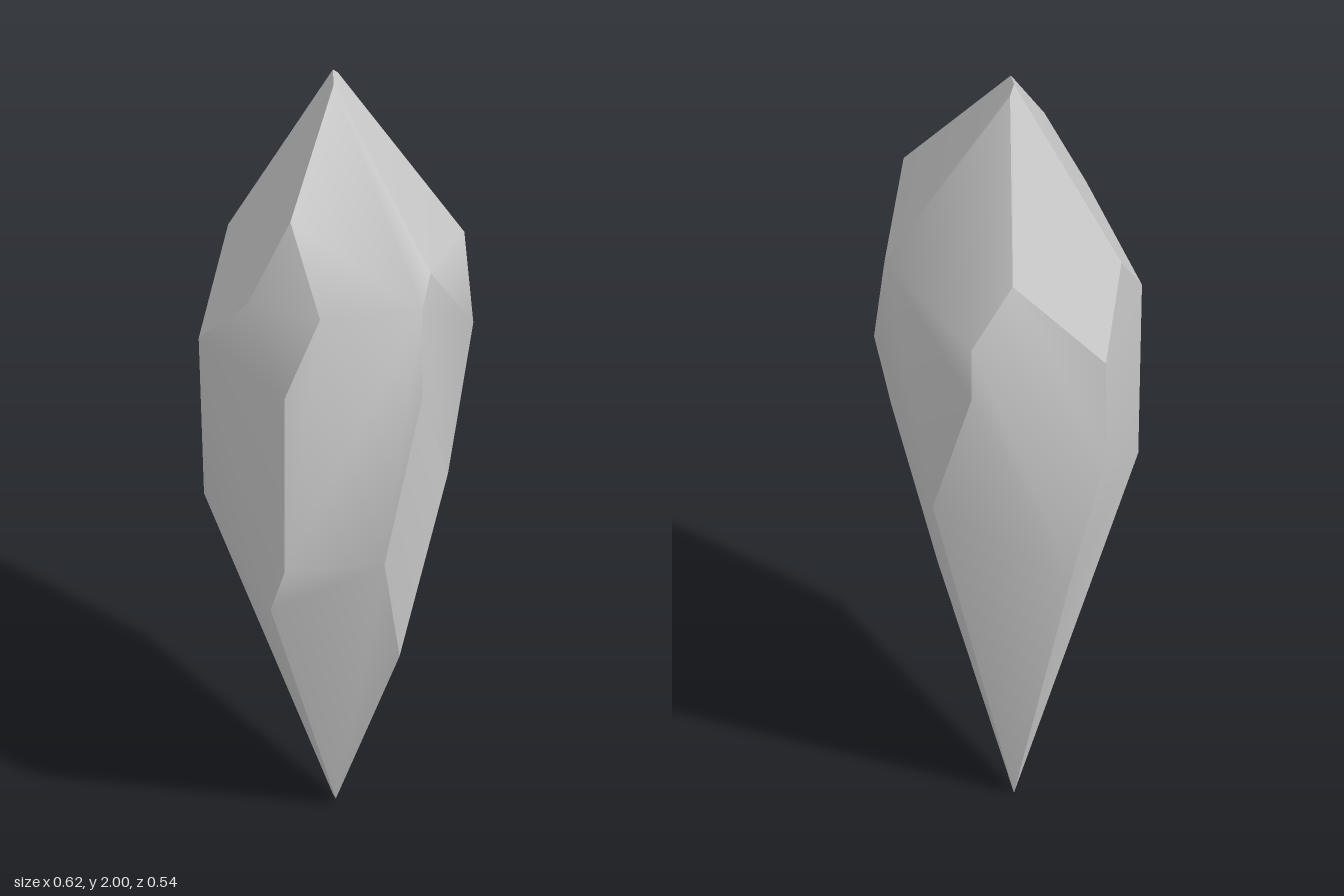
import * as THREE from 'three';
import { ConvexGeometry } from 'three/addons/geometries/ConvexGeometry.js';
import { toCreasedNormals } from 'three/addons/utils/BufferGeometryUtils.js';

// Corners of the cut hexagonal crystal, grouped by where they sit
const tip = [[-0.005, 1.99, -0.01], [0, 2, -0.055], [0.013, 1.98, -0.07]];

// Upper cuts: where the sloping top facets meet the six sides
const shoulder = [
  [-0.125, 1.74, 0.15], [-0.075, 1.55, 0.268], [0.155, 1.55, 0.268],
  [0.18, 1.62, 0.222], [0.292, 1.54, -0.03], [0.155, 1.44, -0.268],
  [0.06, 1.6, -0.268], [-0.155, 1.34, -0.268], [-0.222, 1.525, -0.152],
  [-0.31, 1.33, 0], [-0.222, 1.525, 0.152], [-0.155, 1.34, 0.268],
];

// Lower cuts: where the long bottom facets meet the six sides
const waist = [
  [0.155, 1.31, 0.268], [0.07, 0.86, 0.268], [-0.155, 0.86, 0.268],
  [-0.18, 0.73, 0.225], [-0.294, 0.88, -0.028], [-0.155, 1.07, -0.268],
  [-0.075, 0.75, -0.268], [0.155, 1.3, -0.268], [0.216, 0.93, -0.162],
  [0.308, 1.31, 0], [0.232, 1.0, 0.135], [0.12, 0.52, 0.155],
];

const foot = [[0, 0.02, -0.01], [0, 0, -0.055]];

export function createModel() {
  const points = [...tip, ...shoulder, ...waist, ...foot].map((p) => new THREE.Vector3(...p));

  // Soft shading over shallow folds, sharp ridges elsewhere
  const geometry = toCreasedNormals(new ConvexGeometry(points), 0.6);
  const crystal = new THREE.Mesh(geometry, new THREE.MeshStandardMaterial({ color: 0xcccccc }));
  crystal.name = 'crystal';

  const group = new THREE.Group();
  group.name = 'crystalShard';
  group.add(crystal);
  return group;
}
